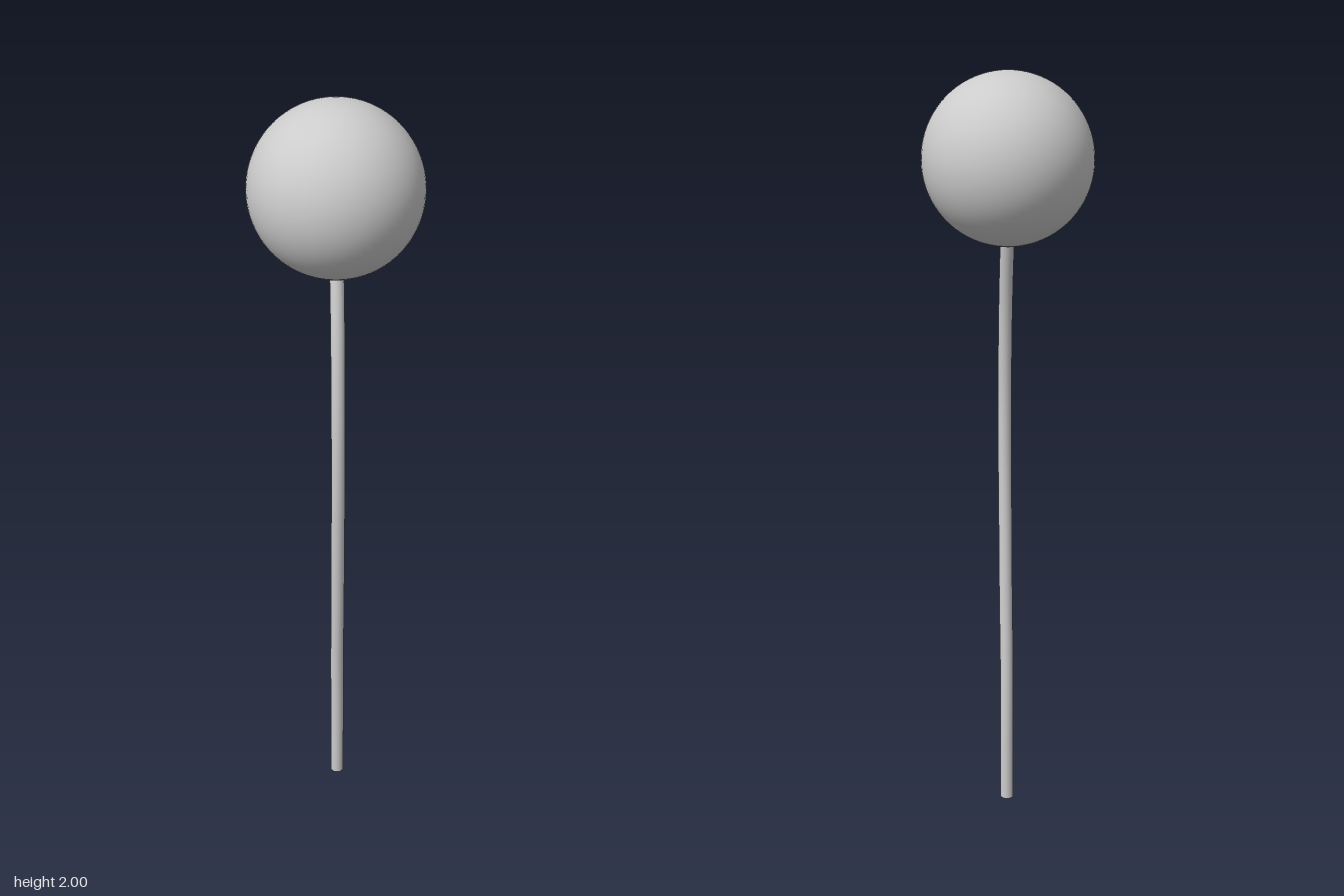
import * as THREE from 'three';

export function createModel() {
  const model = new THREE.Group();
  const material = new THREE.MeshStandardMaterial({ color: 0xcccccc });
  const add = (name, geometry) => {
    const mesh = new THREE.Mesh(geometry, material);
    mesh.name = name;
    model.add(mesh);
    return mesh;
  };

  // Round head
  const head = add('head', new THREE.SphereGeometry(0.215, 64, 40));
  head.position.set(0, 1.785, 0);

  // Slender stem, bowed towards the front and ending just inside the head
  const radius = 0.018;
  const path = new THREE.CatmullRomCurve3([
    [0.003, 0, 0], [0.003, 0.2, 0.003], [0.001, 0.4, 0.013], [0, 0.6, 0.03],
    [-0.002, 0.8, 0.047], [-0.003, 1.0, 0.059], [-0.003, 1.2, 0.058],
    [-0.001, 1.4, 0.037], [0.002, 1.57, 0], [0.002, 1.62, -0.015],
  ].map((p) => new THREE.Vector3(...p)));
  add('stem', new THREE.TubeGeometry(path, 64, radius, 16, false));

  // Flat end closing the foot of the stem
  const foot = add('stemFoot', new THREE.CircleGeometry(radius, 16));
  foot.rotation.x = Math.PI / 2;
  foot.position.set(0.003, 0, 0);

  return model;
}
